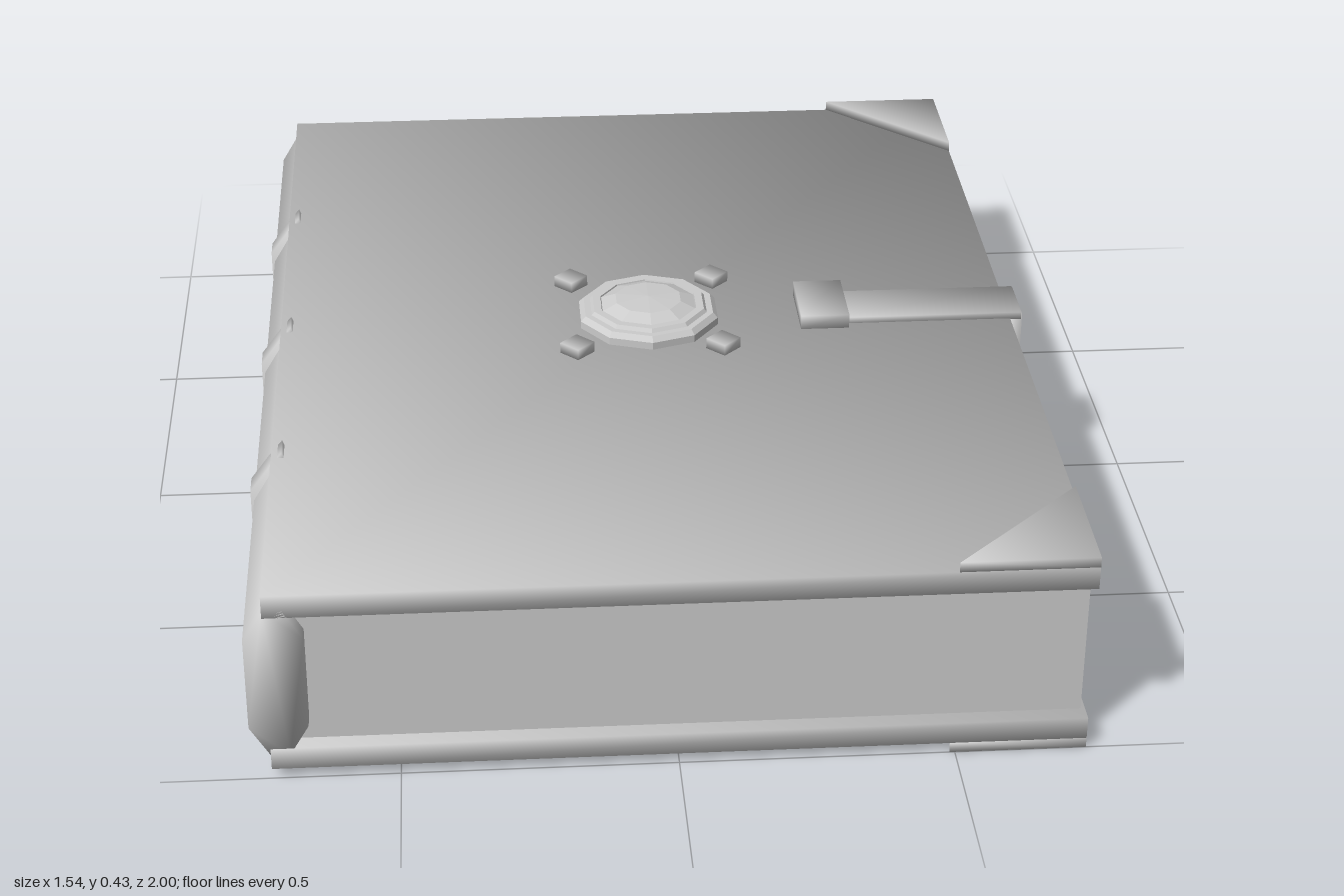
import * as THREE from 'three';

const grey = new THREE.MeshStandardMaterial({ color: 0xcccccc });
grey.name = 'plain grey';

// Smooth every edge: each corner takes the unweighted mean of its distinct face normals
function soften(source) {
  const g = source.index ? source.toNonIndexed() : source;
  g.computeVertexNormals();
  const p = g.attributes.position, n = g.attributes.normal, corners = new Map();
  const keyOf = (i) => [p.getX(i), p.getY(i), p.getZ(i)].map((v) => Math.round(v * 1e4)).join();
  for (let i = 0; i < p.count; i++) {
    const v = new THREE.Vector3().fromBufferAttribute(n, i);
    const list = corners.get(keyOf(i)) || [];
    if (!list.some((o) => o.dot(v) > 0.999)) list.push(v);
    corners.set(keyOf(i), list);
  }
  for (let i = 0; i < p.count; i++) {
    const sum = new THREE.Vector3();
    corners.get(keyOf(i)).forEach((v) => sum.add(v));
    sum.normalize();
    n.setXYZ(i, sum.x, sum.y, sum.z);
  }
  return g;
}

function flatten(source) {
  const g = source.index ? source.toNonIndexed() : source;
  g.computeVertexNormals();
  return g;
}

// Box given by its limits on each axis
function box(x0, x1, y0, y1, z0, z1) {
  return new THREE.BoxGeometry(x1 - x0, y1 - y0, z1 - z0)
    .translate((x0 + x1) / 2, (y0 + y1) / 2, (z0 + z1) / 2);
}

// Prism along z from an outline in x and y
function prism(points, z0, z1) {
  const shape = new THREE.Shape(points.map(([x, y]) => new THREE.Vector2(x, y)));
  return new THREE.ExtrudeGeometry(shape, { depth: z1 - z0, bevelEnabled: false }).translate(0, 0, z0);
}

export function createModel() {
  const book = new THREE.Group();
  book.name = 'book';
  const add = (name, geometry) => {
    const mesh = new THREE.Mesh(geometry, grey);
    mesh.name = name;
    book.add(mesh);
    return mesh;
  };

  // Covers and page block
  add('topCover', soften(box(-0.73, 0.74, 0.34, 0.385, -1, 1)));
  add('bottomCover', soften(box(-0.73, 0.74, 0.02, 0.063, -1, 1)));
  add('pages', box(-0.7, 0.732, 0.06, 0.345, -0.968, 0.968));

  // Rounded spine with three raised bands
  add('spine', soften(prism([
    [-0.766, 0.11], [-0.73, 0.05], [-0.695, 0.05], [-0.66, 0.11],
    [-0.66, 0.295], [-0.695, 0.355], [-0.73, 0.355], [-0.766, 0.295],
  ], -1, 1)));
  for (const z of [-0.5, 0, 0.5]) {
    add('spineBand', soften(prism([
      [-0.772, 0.09], [-0.735, 0.03], [-0.71, 0.01], [-0.7, 0.03],
      [-0.7, 0.37], [-0.71, 0.395], [-0.735, 0.365], [-0.772, 0.315],
    ], z - 0.024, z + 0.024)));
  }

  // Triangular corner guards on both covers
  for (const side of [-1, 1]) {
    for (const y of [0.0, 0.385]) {
      const points = [[0.49, side], [0.74, side], [0.74, side * 0.755]];
      const plate = prism(points, -0.02, 0).rotateX(Math.PI / 2);
      add('cornerGuard', soften(plate.translate(0, y, 0)));
    }
  }

  // Clasp strap wrapping the fore edge, with its buckle
  add('strapTop', soften(box(0.38, 0.762, 0.383, 0.398, -0.058, 0.058)));
  add('strapSide', soften(box(0.742, 0.764, 0.015, 0.395, -0.058, 0.058)));
  add('buckle', soften(box(0.313, 0.41, 0.385, 0.414, -0.077, 0.077)));

  // Ten-sided medallion: stepped ring around a faceted gem
  const lathe = (pts) => new THREE.LatheGeometry(pts.map(([r, y]) => new THREE.Vector2(r, y)), 10)
    .translate(0.01, 0, 0);
  add('medallionRing', flatten(lathe([
    [0.145, 0.384], [0.145, 0.4], [0.135, 0.41], [0.122, 0.41], [0.116, 0.417], [0.1, 0.417], [0.095, 0.4],
  ])));
  add('medallionGem', flatten(lathe([[0.1, 0.4], [0.098, 0.415], [0.068, 0.427], [0, 0.431]])));

  // Diamond studs around the medallion
  for (const sx of [-1, 1]) {
    for (const sz of [-1, 1]) {
      const stud = add('stud', soften(box(-0.024, 0.024, 0.384, 0.407, -0.024, 0.024)));
      stud.rotation.y = Math.PI / 4;
      stud.position.set(0.005 + sx * 0.145, 0, sz * 0.145);
    }
  }
  return book;
}
